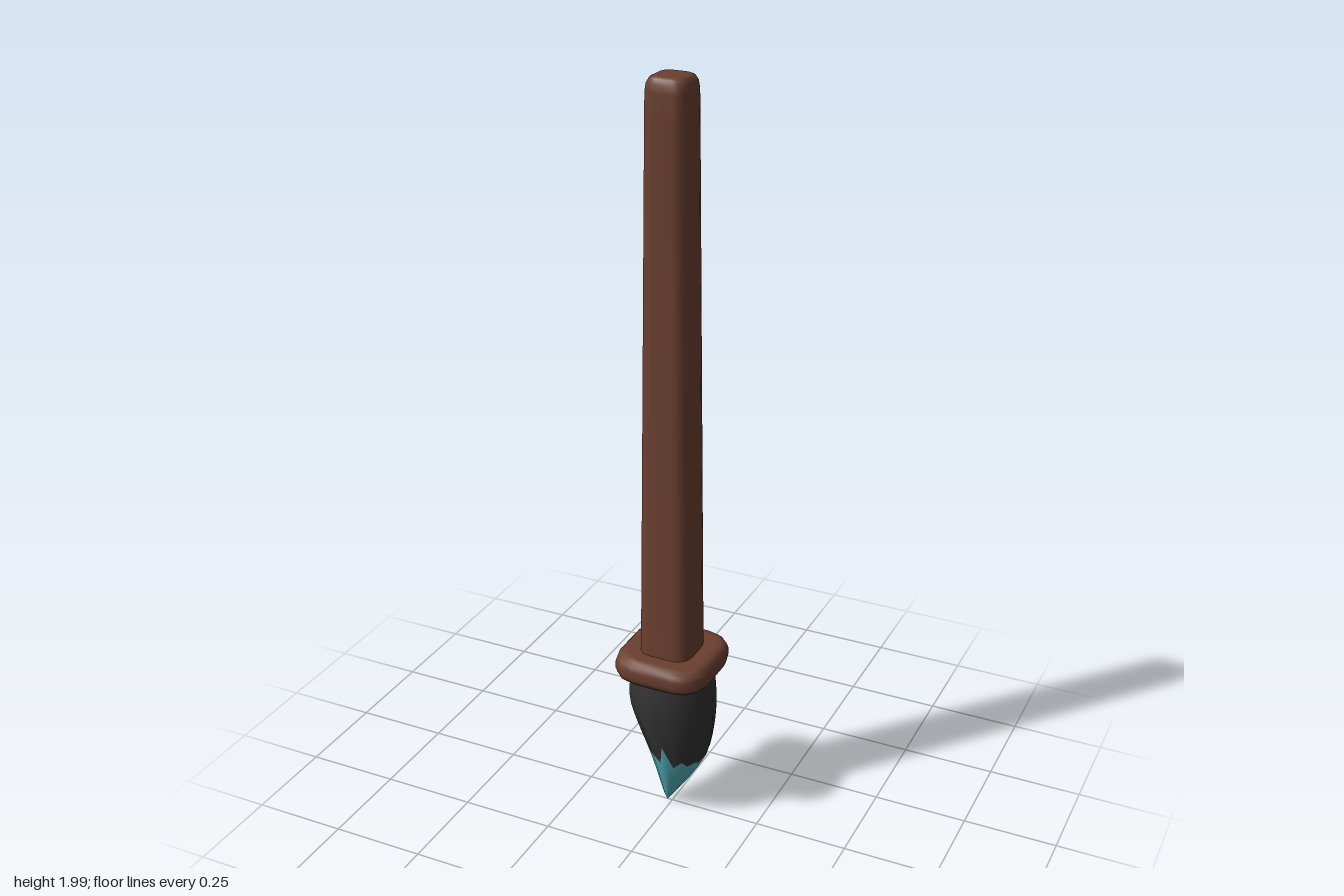
import * as THREE from 'three';

// Skin a closed surface: point(row, column) gives [x, y, z], rows run upward
function loft(rows, cols, point) {
  const pos = [], index = [];
  for (let j = 0; j < rows; j++)
    for (let i = 0; i < cols; i++) pos.push(...point(j, i));
  for (let j = 0; j < rows - 1; j++)
    for (let i = 0; i < cols; i++) {
      const n = (i + 1) % cols;
      const a = j * cols + i, b = a + cols, c = b - i + n, d = a - i + n;
      index.push(a, b, c, a, c, d);
    }
  const g = new THREE.BufferGeometry();
  g.setAttribute('position', new THREE.Float32BufferAttribute(pos, 3));
  g.setIndex(index);
  g.computeVertexNormals();
  return g;
}

// Rounded square outline of half width 1, four points per corner
const outline = [];
for (let q = 0; q < 4; q++)
  for (let k = 0; k < 4; k++) {
    const a = q * Math.PI / 2 + k * Math.PI / 6;
    const c = q * Math.PI / 2 + Math.PI / 4, r = 0.45 * Math.SQRT2;
    outline.push([r * Math.cos(c) + 0.55 * Math.cos(a), r * Math.sin(c) + 0.55 * Math.sin(a)]);
  }

// Rounded-square solid from a profile of [y, half width]
const squareLoft = (profile) => loft(profile.length, 16, (j, i) => {
  const [y, w] = profile[j];
  return [outline[i][0] * w, y, outline[i][1] * w];
});

// Bristle profile: y, left x, right x, half depth
const tuft = [
  [0.01, -0.015, -0.013, 0.001], [0.03, -0.022, 0, 0.012],
  [0.1, -0.037, 0.05, 0.045], [0.15, -0.048, 0.08, 0.068],
  [0.2, -0.062, 0.105, 0.088], [0.27, -0.088, 0.115, 0.105],
  [0.32, -0.107, 0.118, 0.111], [0.37, -0.115, 0.117, 0.113],
  [0.41, -0.11, 0.113, 0.108], [0.45, -0.1, 0.105, 0.1],
];
const COLS = 24;

function tuftPoint(y, i) {
  let k = 0;
  while (k < tuft.length - 2 && y > tuft[k + 1][0]) k++;
  const p = tuft[k], q = tuft[k + 1], t = (y - p[0]) / (q[0] - p[0]);
  const [, l, r, d] = p.map((v, n) => v + (q[n] - v) * t);
  const a = i / COLS * Math.PI * 2;
  const ripple = i % 2 ? 0.97 : 1.01;
  return [(l + r) / 2 + Math.cos(a) * (r - l) / 2 * ripple, y, Math.sin(a) * d * ripple];
}

// Jagged paint line, with one taller tip at the front
const paintLine = (i) => 0.19 - 0.012 * Math.cos(i / COLS * Math.PI * 2)
  + (i % 2 ? -0.012 : 0.012) + 0.006 * Math.sin(i * 2.3) + (i === 6 ? 0.04 : 0);

export function createModel() {
  const group = new THREE.Group();
  const add = (name, geometry, color) => {
    const mesh = new THREE.Mesh(geometry, new THREE.MeshStandardMaterial({ color, side: THREE.DoubleSide }));
    mesh.name = name;
    group.add(mesh);
  };
  const wood = 0x6b4030;

  // Tapered handle with a softened end
  add('handle', squareLoft([
    [0.47, 0.071], [0.52, 0.071], [1.9, 0.056], [1.965, 0.055],
    [1.985, 0.052], [1.996, 0.046], [2, 0.038], [2, 0],
  ]), wood);

  // Thick rounded collar
  add('collar', squareLoft([
    [0.43, 0], [0.43, 0.1], [0.432, 0.115], [0.442, 0.125], [0.455, 0.129],
    [0.475, 0.129], [0.488, 0.125], [0.498, 0.115], [0.5, 0.1], [0.5, 0],
  ]), wood);

  // Dark bristles above the paint line, painted tip below it
  const ROWS = 9;
  add('bristles', loft(ROWS, COLS, (j, i) => {
    const y0 = paintLine(i);
    return tuftPoint(y0 + (0.45 - y0) * j / (ROWS - 1), i);
  }), 0x333333);
  add('paintedTip', loft(ROWS, COLS, (j, i) =>
    tuftPoint(0.01 + (paintLine(i) - 0.01) * j / (ROWS - 1), i)), 0x55b8c0);

  return group;
}
